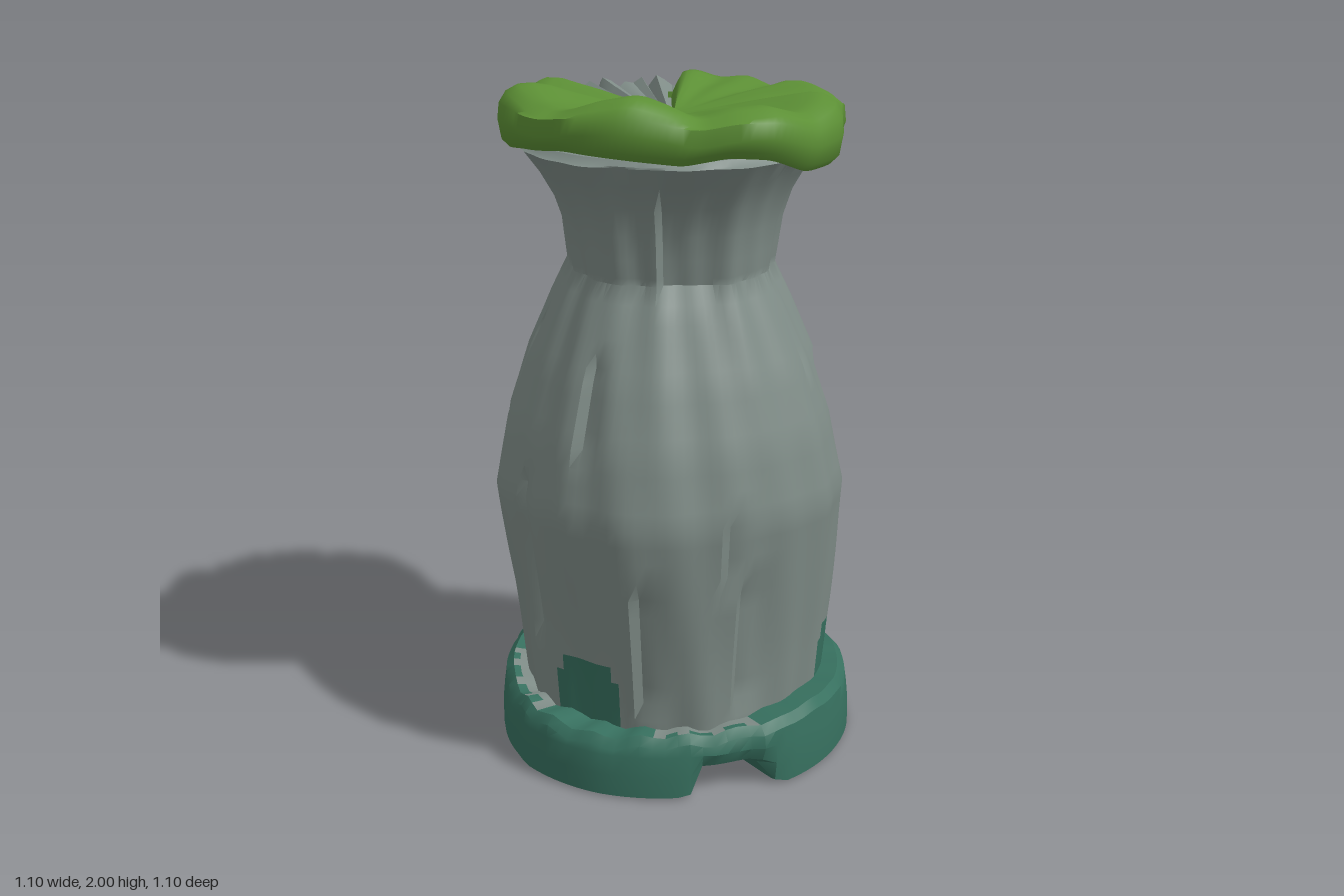
import * as THREE from 'three';
import { toCreasedNormals } from 'three/addons/utils/BufferGeometryUtils.js';

const rad = THREE.MathUtils.degToRad;
const smooth = THREE.MathUtils.smoothstep;

// Interpolates [key, value] pairs
function table(pairs, x) {
  if (x <= pairs[0][0]) return pairs[0][1];
  for (let i = 1; i < pairs.length; i++) {
    const [x0, v0] = pairs[i - 1], [x1, v1] = pairs[i];
    if (x <= x1) return v0 + (v1 - v0) * (x - x0) / (x1 - x0);
  }
  return pairs[pairs.length - 1][1];
}

// Sweeps a profile [radius, height][] that varies with the angle (degrees).
// Profiles run from the bottom, round the outside, to the top.
function sweep(start, end, cols, profile, crease, cellMaterial = () => 0) {
  const pos = [], cells = [[], []];
  let n = 0;
  for (let i = 0; i <= cols; i++) {
    const deg = start + (end - start) * i / cols, a = rad(deg);
    const pts = profile(deg);
    n = pts.length;
    for (const [r, y] of pts) pos.push(r * Math.cos(a), y, -r * Math.sin(a));
  }
  for (let i = 0; i < cols; i++) {
    const deg = start + (end - start) * (i + 0.5) / cols;
    for (let j = 0; j < n - 1; j++) {
      const a = i * n + j, b = a + n;
      cells[cellMaterial(deg, j)].push(a, b, b + 1, a, b + 1, a + 1);
    }
  }
  const g = new THREE.BufferGeometry();
  g.setAttribute('position', new THREE.Float32BufferAttribute(pos, 3));
  g.setIndex([...cells[0], ...cells[1]]);
  g.addGroup(0, cells[0].length, 0);
  if (cells[1].length) g.addGroup(cells[0].length, cells[1].length, 1);
  return toCreasedNormals(g, crease);
}

// Rock silhouette: height, radius
const bodyRadius = [[0.15, 0.44], [0.2, 0.445], [0.36, 0.46], [0.6, 0.488], [0.82, 0.512], [1.02, 0.475],
  [1.2, 0.415], [1.36, 0.345], [1.46, 0.297], [1.6, 0.318], [1.68, 0.345], [1.75, 0.385], [1.81, 0.43]];
const bodyRows = [0.15, 0.2, 0.25, 0.31, 0.36, 0.42, 0.48, 0.54, 0.6, 0.66, 0.72, 0.77, 0.82, 0.87, 0.92, 0.97, 1.02,
  1.07, 1.12, 1.16, 1.2, 1.24, 1.28, 1.32, 1.36, 1.41, 1.46, 1.48, 1.53, 1.6, 1.68, 1.75, 1.81];

// Chips in the rock: angle, low, high, depth, width in degrees
const gouges = [[283, 1.2, 1.42, 0.025, 9], [305, 0.84, 1.16, 0.035, 12], [242, 0.22, 0.6, 0.03, 14], [236, 0.62, 0.82, 0.02, 12],
  [33, 0.7, 0.98, 0.04, 14], [12, 0.22, 0.56, 0.03, 10], [44, 0.36, 0.7, 0.025, 12], [46, 1.14, 1.4, 0.025, 12],
  [317, 0.95, 1.2, 0.015, 10], [102, 1.1, 1.4, 0.022, 9], [128, 0.9, 1.3, 0.025, 9], [118, 0.66, 0.82, 0.025, 14],
  [158, 0.4, 0.9, 0.022, 10], [205, 0.22, 0.62, 0.028, 12], [185, 1.0, 1.25, 0.02, 10], [212, 1.46, 1.74, 0.022, 34],
  [4, 1.46, 1.72, 0.018, 20], [75, 0.3, 0.7, 0.02, 9]];

function rockRadius(deg, y) {
  const a = rad(deg);
  let r = table(bodyRadius, y);
  r += 0.008 * Math.sin(5 * a + 3 * y) + 0.005 * Math.sin(11 * a - 2 * y + 1) + 0.004 * Math.sin(19 * a + 5 * y);
  r -= 0.01 * Math.cos(a) * smooth(y, 0.4, 0.8);
  for (const [g, lo, hi, depth, width] of gouges) {
    const t = (((deg - g) % 360 + 360) % 360) / width;
    if (t <= 1 && y >= lo && y <= hi) r -= depth * (1 - t);
  }
  return r;
}

// Rock with a ridged top that shows where the moss is missing
function rockProfile(deg) {
  const d = (deg % 360 + 360) % 360;
  const bare = smooth(d, 30, 40) * (1 - smooth(d, 86, 95));
  const pts = bodyRows.map(y => [rockRadius(deg, y), y]);
  const saw = ((d / 9.5) % 1) * 0.03 + 0.014 * Math.sin(d * 0.9);
  const rimY = 1.83 + bare * (0.05 + saw + 0.02 * Math.cos(rad(d - 40) * 2));
  const rimR = 0.43 + bare * (0.04 + 0.012 * Math.sin(d * 0.7));
  pts.push([rimR, rimY - 0.015], [rimR - 0.015, rimY]);
  for (const f of [0.8, 0.55, 0.3, 0.005])
    pts.push([rimR * f, 1.8 + (rimY - 1.8) * f + bare * 0.055 * (1 - f) + (1 - bare) * 0.04 * (1 - f)]);
  return pts;
}

// Low stains rising from the base: start and end angle
const stains = [[27, 84], [171, 198], [291, 351]];
const stainCell = (deg, row) => stains.some(([s, e]) => {
  const inset = row === 3 ? 3 : 0;
  return row <= 3 && deg > s + inset && deg < e - inset;
}) ? 1 : 0;

// Plinth outline by angle
const plinthRadius = [[0, 0.55], [48, 0.545], [65, 0.54], [75, 0.55], [105, 0.55], [112, 0.53], [140, 0.53], [162, 0.545],
  [166, 0.555], [195, 0.553], [215, 0.54], [228, 0.53], [232, 0.535], [243, 0.53], [248, 0.55], [285, 0.545],
  [300, 0.545], [325, 0.54], [335, 0.53], [345, 0.545], [360, 0.55]];
function plinthProfile(deg) {
  const R = table(plinthRadius, deg), a = rad(deg);
  const notch = smooth(deg, 223, 229) * (1 - smooth(deg, 246, 254));
  const worn = smooth(deg, 135, 150) * (1 - smooth(deg, 225, 245));
  const top = 0.2 - 0.02 * worn + 0.006 * Math.sin(7 * a) + 0.006 * Math.sin(23 * a) * (0.4 + worn);
  return [[0.003, 0], [0.25, 0.02 * notch], [R - 0.02 - 0.08 * notch, 0.07 * notch],
    [R - 0.07 * notch, 0.005 + 0.07 * notch], [R - 0.025 * notch, 0.07 + 0.02 * notch],
    [R - 0.006, 0.13], [R - 0.012, top - 0.025], [R - 0.035, top], [0.475, top - 0.003], [0.42, top - 0.008]];
}
const bareLedge = (deg, row) => (row === 8 || (row === 7 && Math.sin(deg) > 0.2)) &&
  ((deg > 125 && deg < 168) || (deg > 212 && deg < 248)) ? 1 : 0;

// Moss outline, crest height and hanging edge by angle
const mossRadius = [[84, 0.43], [92, 0.475], [99, 0.5], [107, 0.485], [118, 0.455], [130, 0.48], [140, 0.5], [155, 0.485],
  [170, 0.505], [185, 0.5], [200, 0.49], [215, 0.465], [228, 0.46], [240, 0.475], [250, 0.495], [270, 0.495], [287, 0.5],
  [300, 0.475], [318, 0.5], [330, 0.49], [345, 0.48], [357, 0.485], [370, 0.5], [380, 0.465], [390, 0.44], [397, 0.42], [402, 0.33]];
const mossCrest = [[84, 1.92], [97, 1.96], [112, 1.925], [122, 1.93], [140, 1.99], [160, 1.955], [175, 1.945], [190, 1.98],
  [204, 2.0], [217, 1.97], [228, 1.935], [242, 1.96], [255, 1.965], [272, 1.93], [288, 1.955], [300, 1.96], [312, 1.925],
  [325, 1.945], [340, 1.95], [354, 1.915], [368, 1.94], [378, 1.93], [390, 1.96], [402, 1.93]];
const mossHang = [[84, 1.83], [100, 1.81], [118, 1.85], [140, 1.81], [160, 1.83], [180, 1.85], [200, 1.84], [222, 1.82],
  [238, 1.84], [252, 1.83], [268, 1.78], [290, 1.78], [305, 1.83], [320, 1.79], [335, 1.82], [348, 1.78], [362, 1.77],
  [378, 1.82], [392, 1.81], [402, 1.84]];
const soft = (t, d) => (table(t, d - 3) + 2 * table(t, d) + table(t, d + 3)) / 4;
function mossProfile(deg) {
  const R = soft(mossRadius, deg), T = soft(mossCrest, deg), B = soft(mossHang, deg);
  // The two cut edges fall away to the rock
  const edge = Math.sqrt(Math.min(1, (deg - 84) / 8, (402 - deg) / 8));
  const low = 1.83, mid = (T + B) / 2;
  return [[0.78, B + 0.07], [0.89, B + 0.015], [0.94, B], [0.98, B + 0.02], [1, mid - 0.01], [0.99, mid + 0.035],
    [0.95, T - 0.02], [0.88, T - 0.002], [0.8, T], [0.7, T - 0.008], [0.55, T * 0.6 + 0.4 * 1.905],
    [0.35, T * 0.3 + 0.7 * 1.9], [0.15, 1.895], [0.005, 1.89]]
    .map(([f, y], j) => [R * f * (j < 9 ? 0.93 + 0.07 * edge : 1), j > 4 && j < 13 ? low + (y - low) * edge : y]);
}

export function createModel() {
  const colour = (name, color) => Object.assign(new THREE.MeshStandardMaterial({ color }), { name });
  const stone = colour('grey stone', 0x7f8c87);
  const teal = colour('dark teal', 0x37705f);
  const green = colour('moss green', 0x5c8f35);
  green.side = THREE.DoubleSide;

  const model = new THREE.Group();
  model.name = 'mossyRockPillar';
  const add = (name, geometry, material) => {
    const mesh = new THREE.Mesh(geometry, material);
    mesh.name = name;
    model.add(mesh);
  };
  add('rockBody', sweep(0, 360, 120, rockProfile, 0.6, stainCell), [stone, teal]);
  add('plinth', sweep(0, 360, 90, plinthProfile, 0.6, bareLedge), [teal, stone]);
  add('mossCap', sweep(84, 402, 120, mossProfile, 1.1), [green]);
  return model;
}
